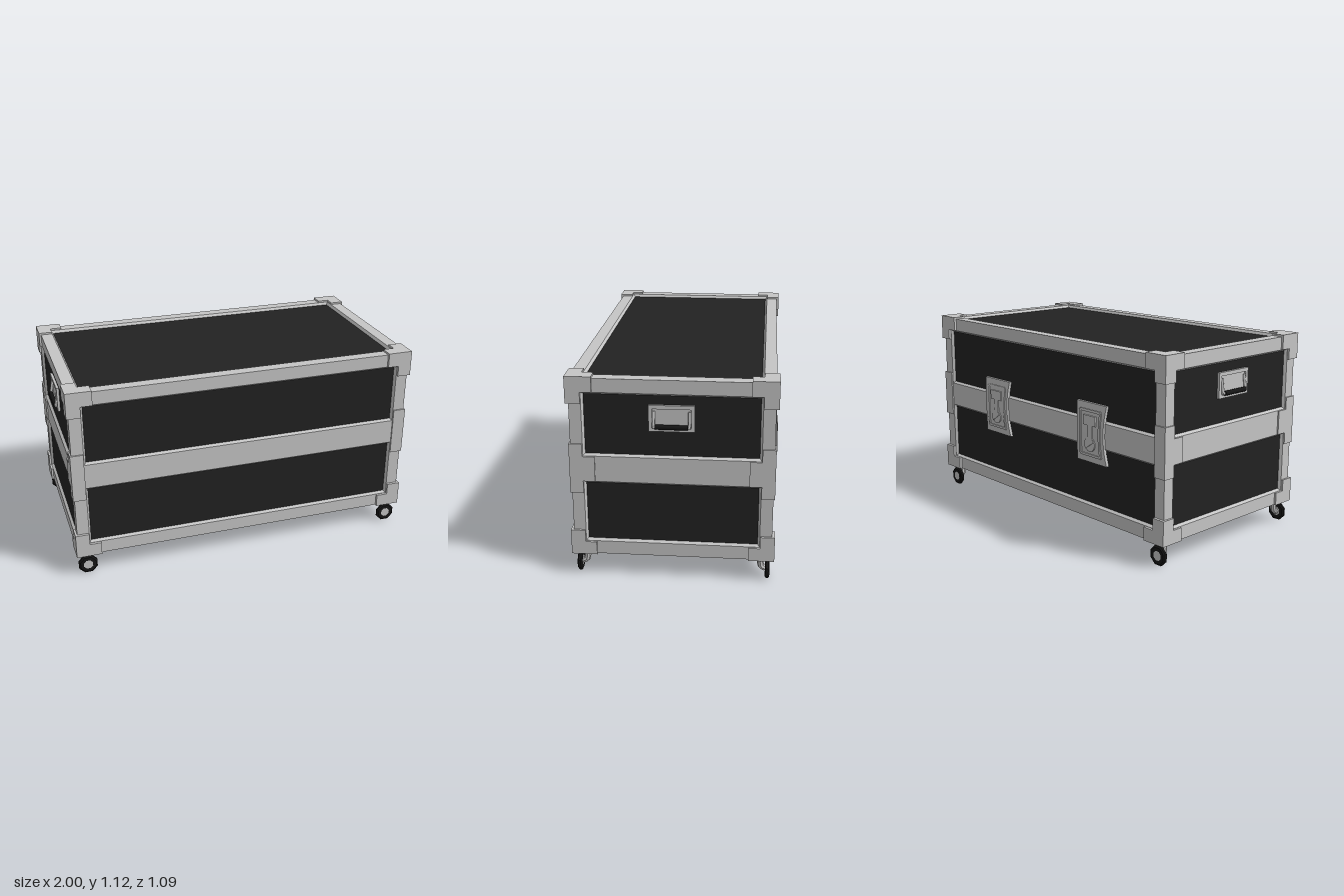
import * as THREE from 'three';

const W = 0.98, D = 0.525, Y0 = 0.13, Y1 = 1.114, MID = (Y0 + Y1) / 2, H = Y1 - Y0;
const INSET = 0.011, DEPTH = 0.015;

const metal = new THREE.MeshStandardMaterial({ color: 0xc6c6c6 });
metal.name = 'brushed metal';
const board = new THREE.MeshStandardMaterial({ color: 0x222222 });
board.name = 'black board';
const rubber = new THREE.MeshStandardMaterial({ color: 0x161616 });
rubber.name = 'rubber';

function add(parent, name, geo, mat, x = 0, y = 0, z = 0) {
  const m = new THREE.Mesh(geo, mat);
  m.name = name;
  m.position.set(x, y, z);
  parent.add(m);
  return m;
}

// Box given by its two extreme corners
function span(parent, name, mat, x0, x1, y0, y1, z0, z1) {
  return add(parent, name,
    new THREE.BoxGeometry(Math.abs(x1 - x0), Math.abs(y1 - y0), Math.abs(z1 - z0)), mat,
    (x0 + x1) / 2, (y0 + y1) / 2, (z0 + z1) / 2);
}

function flat(geo) {
  const g = geo.index ? geo.toNonIndexed() : geo;
  g.computeVertexNormals();
  return g;
}

const rect = (P, x0, y0, x1, y1) =>
  new P([[x0, y0], [x1, y0], [x1, y1], [x0, y1]].map(p => new THREE.Vector2(...p)));

// One case wall facing +z: metal frame, sloped reveals and recessed boards
function wall(name, w, h, openings) {
  const g = new THREE.Group();
  g.name = name;
  const shape = rect(THREE.Shape, -w, -h, w, h);
  for (const [x0, y0, x1, y1] of openings) {
    shape.holes.push(rect(THREE.Path, x0, y0, x1, y1));
    const i = INSET;
    const out = [[x0, y0, 0], [x1, y0, 0], [x1, y1, 0], [x0, y1, 0]];
    const inn = [[x0 + i, y0 + i, -DEPTH], [x1 - i, y0 + i, -DEPTH],
      [x1 - i, y1 - i, -DEPTH], [x0 + i, y1 - i, -DEPTH]];
    const pos = [];
    for (let k = 0; k < 4; k++) {
      const n = (k + 1) % 4;
      for (const p of [out[k], out[n], inn[n], out[k], inn[n], inn[k]]) pos.push(...p);
    }
    const bevel = new THREE.BufferGeometry();
    bevel.setAttribute('position', new THREE.Float32BufferAttribute(pos, 3));
    bevel.computeVertexNormals();
    add(g, 'frameReveal', bevel, metal);
    add(g, 'boardPanel', new THREE.PlaneGeometry(x1 - x0 - 2 * i, y1 - y0 - 2 * i), board,
      (x0 + x1) / 2, (y0 + y1) / 2, -DEPTH);
  }
  add(g, 'metalFrame', new THREE.ShapeGeometry(shape), metal);
  return g;
}

// Recessed carry handle, facing +z, origin on the wall surface
function makeHandle() {
  const g = new THREE.Group();
  g.name = 'carryHandle';
  const s = rect(THREE.Shape, -0.118, -0.07, 0.118, 0.07);
  s.holes.push(rect(THREE.Path, -0.1, -0.05, 0.1, 0.05));
  add(g, 'handleFrame', new THREE.ExtrudeGeometry(s, { depth: 0.014, bevelEnabled: false }), metal, 0, 0, -DEPTH);
  span(g, 'handleDish', metal, -0.1, 0.1, -0.05, 0.05, -DEPTH, -DEPTH + 0.004);
  for (const x of [-0.092, 0.092]) {
    const arm = add(g, 'handleArm', new THREE.CylinderGeometry(0.008, 0.008, 0.086, 8), metal, x, -0.006, -0.001);
    arm.rotation.x = -0.17;
  }
  const rod = add(g, 'handleRod', new THREE.CylinderGeometry(0.008, 0.008, 0.194, 8), metal, 0, -0.043, 0.006);
  rod.rotation.z = Math.PI / 2;
  const grip = add(g, 'handleGrip', new THREE.CylinderGeometry(0.013, 0.013, 0.167, 10), rubber, 0, -0.043, 0.007);
  grip.rotation.z = Math.PI / 2;
  return g;
}

// Bowed latch with a raised rim, paddle and turn key, facing +z
function makeLatch() {
  const g = new THREE.Group();
  g.name = 'latch';
  const hh = 0.168;
  const bow = y => 0.013 * (1 - (y / hh) ** 2);
  const bent = (name, w, h, t, x, y, z) => {
    const geo = new THREE.BoxGeometry(w, h, t, 4, 10, 1).translate(x, y, z);
    const p = geo.attributes.position;
    for (let i = 0; i < p.count; i++) {
      const py = p.getY(i);
      p.setX(i, p.getX(i) * (0.88 + 0.12 * (py / hh) ** 2));
      p.setZ(i, p.getZ(i) + bow(py));
    }
    add(g, name, flat(geo), metal);
  };
  bent('latchPlate', 0.24, 2 * hh, 0.018, 0, 0, -0.009);
  for (const s of [-1, 1]) {
    bent('latchSideRim', 0.016, 0.25, 0.006, s * 0.086, 0, 0.002);
    bent('latchEndRim', 0.172, 0.014, 0.006, 0, s * 0.125, 0.002);
  }
  span(g, 'latchPaddle', metal, -0.05, 0.05, 0.045, 0.1, 0, 0.018);
  span(g, 'latchStem', metal, -0.016, 0.022, -0.05, 0.05, 0, 0.018);
  const turn = add(g, 'latchTurnDisc', new THREE.CylinderGeometry(0.042, 0.042, 0.014, 14), metal, 0, -0.06, 0.01);
  turn.rotation.x = Math.PI / 2;
  const key = add(g, 'latchTurnKey', new THREE.BoxGeometry(0.075, 0.014, 0.008), metal, 0, -0.06, 0.017);
  key.rotation.z = 0.6;
  return g;
}

// Caster with a bent leg; the wheel faces +z
function makeCaster() {
  const g = new THREE.Group();
  g.name = 'caster';
  const path = new THREE.CatmullRomCurve3([[0.137, 0.468], [0.085, 0.468], [0.064, 0.475], [0.056, 0.496]]
    .map(([y, z]) => new THREE.Vector3(0, y, z)));
  add(g, 'casterLeg', flat(new THREE.TubeGeometry(path, 7, 0.018, 8)), metal);
  const tyre = [[0.028, -0.012], [0.048, -0.012], [0.057, -0.006], [0.057, 0.006], [0.048, 0.012], [0.028, 0.012]]
    .map(p => new THREE.Vector2(...p));
  const wheel = add(g, 'casterTyre', flat(new THREE.LatheGeometry(tyre, 8)), rubber, 0, 0.057, 0.505);
  wheel.rotation.set(Math.PI / 2, Math.PI / 8, 0);
  const hub = add(g, 'casterHub', flat(new THREE.CylinderGeometry(0.03, 0.03, 0.022, 8)), metal, 0, 0.057, 0.505);
  hub.rotation.set(Math.PI / 2, Math.PI / 8, 0);
  return g;
}

export function createModel() {
  const model = new THREE.Group();
  model.name = 'flightCase';
  const h = H / 2, ow = 0.913, od = 0.461, lo = 0.071, hi = 0.418;

  // Case walls
  for (const s of [1, -1]) {
    const side = s > 0 ? 0 : Math.PI;
    const long = wall(s > 0 ? 'frontWall' : 'backWall', W, h, [[-ow, lo, ow, hi], [-ow, -hi, ow, -lo]]);
    long.position.set(0, MID, s * D);
    long.rotation.y = side;
    const short = wall(s > 0 ? 'leftWall' : 'rightWall', D, h, [[-od, lo, od, hi], [-od, -hi, od, -lo]]);
    short.position.set(s * W, MID, 0);
    short.rotation.y = s * Math.PI / 2;
    const flatWall = wall(s > 0 ? 'lid' : 'base', W, D, [[-ow, -od, ow, od]]);
    flatWall.position.y = MID + s * h;
    flatWall.rotation.x = -s * Math.PI / 2;

    const handle = makeHandle();
    handle.position.set(s * W, 0.91, 0);
    handle.rotation.y = s * Math.PI / 2;
    model.add(long, short, flatWall, handle);
  }

  // Corner caps, edge brackets and casters
  const cx = 0.992, cz = 0.54, ix = ow + 0.002, iz = od + 0.002;
  for (const sx of [1, -1]) for (const sz of [1, -1]) {
    for (const top of [true, false]) {
      const cap = new THREE.Group();
      cap.name = 'cornerCap';
      const ya = top ? 1.125 : Y0 - 0.002;
      const yb = top ? MID + hi + 0.002 : MID - hi - 0.002;
      const yc = top ? 0.98 : 0.268;
      span(cap, 'capArmX', metal, sx * 0.85, sx * cx, ya, yb, sz * iz, sz * cz);
      span(cap, 'capArmY', metal, sx * ix, sx * cx, ya, yc, sz * iz, sz * cz);
      span(cap, 'capArmZ', metal, sx * ix, sx * cx, ya, yb, sz * 0.403, sz * cz);
      model.add(cap);
    }
    const bracket = new THREE.Group();
    bracket.name = 'edgeBracket';
    span(bracket, 'bracketUpright', metal, sx * ix, sx * 0.988, 0.485, 0.76, sz * iz, sz * 0.533);
    span(bracket, 'bracketArm', metal, sx * ix, sx * 0.988, MID - lo + 0.002, MID + lo - 0.002, sz * 0.4, sz * 0.533);
    model.add(bracket);

    const caster = makeCaster();
    caster.rotation.y = sz > 0 ? 0 : Math.PI;
    caster.position.x = sx * 0.928;
    model.add(caster);
  }

  // Latches across the seam on the back
  for (const x of [-0.43, 0.425]) {
    const latch = makeLatch();
    latch.position.set(x, 0.622, -D);
    latch.rotation.y = Math.PI;
    model.add(latch);
  }
  return model;
}
